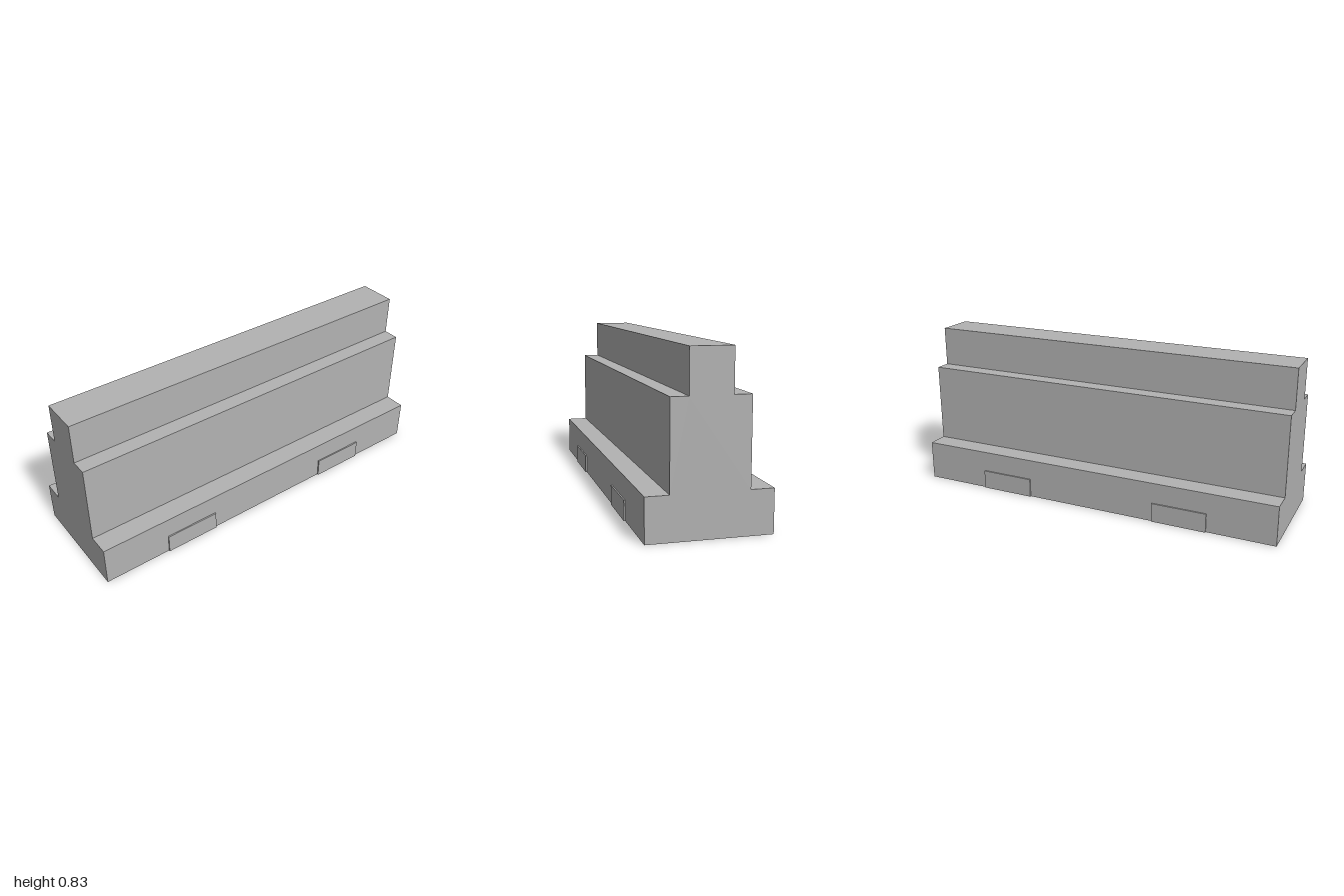
import * as THREE from 'three';

export function createModel() {
  const group = new THREE.Group();
  group.name = 'barrier';
  const concrete = new THREE.MeshStandardMaterial({ color: 0xb2b2b2 });
  concrete.name = 'concrete grey';

  // Stepped barrier body: one half of the cross-section, mirrored and extruded along x
  const half = [[0.293, 0], [0.293, 0.209], [0.183, 0.209], [0.183, 0.626], [0.1, 0.626], [0.1, 0.834]];
  const mirrored = half.map(([z, y]) => [-z, y]).reverse();
  const profile = new THREE.Shape([...half, ...mirrored].map(([z, y]) => new THREE.Vector2(z, y)));
  const bodyGeometry = new THREE.ExtrudeGeometry(profile, { depth: 2, bevelEnabled: false });
  bodyGeometry.translate(0, 0, -1).rotateY(Math.PI / 2);
  const body = new THREE.Mesh(bodyGeometry, concrete);
  body.name = 'steppedBody';
  group.add(body);

  // Thin raised pads at the foot of both long sides
  const padGeometry = new THREE.BoxGeometry(0.29, 0.1, 0.007);
  for (const x of [-1, 1]) {
    for (const z of [-1, 1]) {
      const pad = new THREE.Mesh(padGeometry, concrete);
      pad.name = `${z > 0 ? 'front' : 'back'}${x > 0 ? 'Left' : 'Right'}FootPad`;
      pad.position.set(x * 0.5, 0.05, z * 0.2965);
      group.add(pad);
    }
  }
  return group;
}
